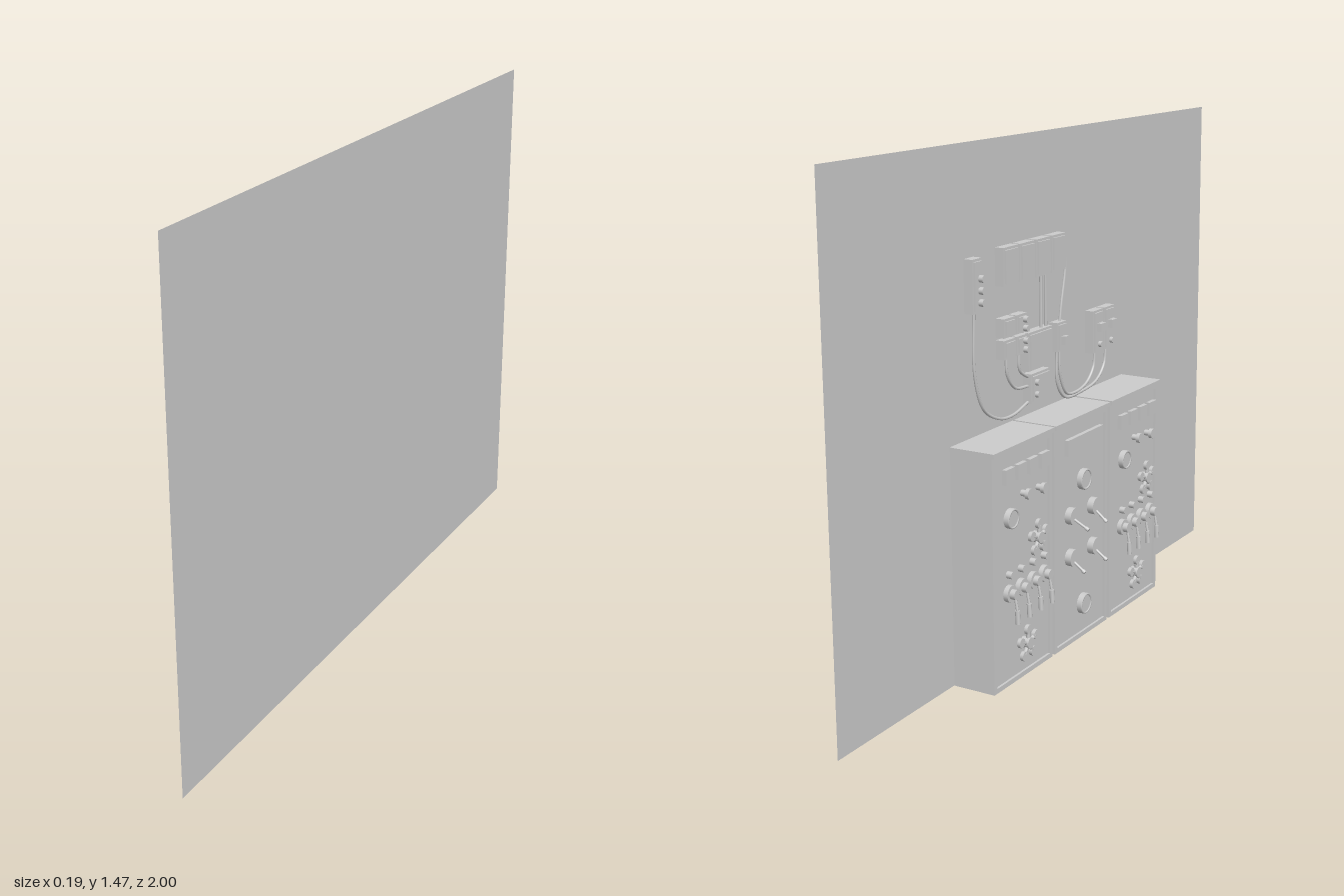
import * as THREE from 'three';

const grey = new THREE.MeshStandardMaterial({ color: 0xcccccc });
const greyThin = new THREE.MeshStandardMaterial({ color: 0xcccccc, side: THREE.DoubleSide });
const FACE = -0.028; // x of the recessed cabinet panels, which look towards -x
const WALL = 0.095;

function add(parent, name, geometry, x, y, z, material = grey) {
  const mesh = new THREE.Mesh(geometry, material);
  mesh.name = name;
  mesh.position.set(x, y, z);
  parent.add(mesh);
  return mesh;
}

// Box given by its x and y ranges, centre z and width
function box(parent, name, x0, x1, y0, y1, z, w) {
  return add(parent, name, new THREE.BoxGeometry(x1 - x0, y1 - y0, w), (x0 + x1) / 2, (y0 + y1) / 2, z);
}

// Round part standing out from a face towards -x
function disc(parent, name, x0, x1, y, z, r, sides = 16) {
  const g = new THREE.CylinderGeometry(r, r, x1 - x0, sides).rotateZ(Math.PI / 2);
  return add(parent, name, g, (x0 + x1) / 2, y, z);
}

// Straight bar between two points
function bar(parent, name, a, b, r) {
  const p = new THREE.Vector3(...a), q = new THREE.Vector3(...b);
  const m = add(parent, name, new THREE.CylinderGeometry(r, r, p.distanceTo(q), 8), 0, 0, 0);
  m.position.copy(p).lerp(q, 0.5);
  m.quaternion.setFromUnitVectors(new THREE.Vector3(0, 1, 0), q.sub(p).normalize());
}

function cable(parent, points) {
  const curve = new THREE.CatmullRomCurve3(points.map(([y, z]) => new THREE.Vector3(0.08, y, z)), false, 'centripetal');
  add(parent, 'cable', new THREE.TubeGeometry(curve, 40, 0.0045, 6), 0, 0, 0);
}

function gauge(parent, y, z, r) {
  disc(parent, 'gauge', -0.042, FACE, y, z, r, 20);
  const rim = new THREE.TorusGeometry(r * 0.9, 0.003, 6, 20).rotateY(Math.PI / 2);
  add(parent, 'gaugeRim', rim, -0.042, y, z);
}

function pushKnob(parent, y, z) {
  disc(parent, 'knobStem', -0.045, FACE, y, z, 0.009);
  disc(parent, 'knobCap', -0.056, -0.045, y, z, 0.015);
}

// Hand wheel with five lobes
function handWheel(parent, y, z) {
  const wheel = new THREE.Group();
  wheel.name = 'handWheel';
  wheel.position.set(0, y, z);
  parent.add(wheel);
  disc(wheel, 'wheelHub', -0.054, FACE, 0, 0, 0.016);
  for (let i = 0; i < 5; i++) {
    const a = (i / 5) * Math.PI * 2;
    const at = (r) => [-0.045, Math.cos(a) * r, Math.sin(a) * r];
    bar(wheel, 'wheelSpoke', at(0.01), at(0.035), 0.006);
    disc(wheel, 'wheelLobe', -0.05, -0.04, at(0.039)[1], at(0.039)[2], 0.014, 10);
  }
}

function cabinet(parent, z) {
  const g = new THREE.Group();
  g.name = 'cabinet';
  g.position.z = z;
  parent.add(g);
  box(g, 'cabinetBody', FACE, WALL, 0, 0.664, 0, 0.305);
  box(g, 'cabinetLid', -0.043, WALL, 0.664, 0.677, 0, 0.309);
  for (const s of [-1, 1]) box(g, 'sideFrame', -0.035, FACE, 0, 0.664, s * 0.1455, 0.014);
  box(g, 'bottomFrame', -0.035, FACE, 0, 0.014, 0, 0.277);
  box(g, 'topFrame', -0.035, FACE, 0.65, 0.664, 0, 0.277);
  return g;
}

function valveCabinet(parent, z) {
  const g = cabinet(parent, z);
  for (let i = 0; i < 4; i++) {
    const dz = 0.02 + (i - 1.5) * 0.06;
    box(g, 'displayWindow', -0.041, FACE, 0.575, 0.617, dz, 0.044);
    // Selector levers with an indicator above each
    disc(g, 'indicator', -0.045, FACE, 0.318, dz, 0.01);
    disc(g, 'leverBase', -0.042, FACE, 0.265, dz, 0.024);
    disc(g, 'leverHub', -0.057, -0.042, 0.265, dz, 0.014);
    bar(g, 'leverArm', [-0.05, 0.265, dz], [-0.059, 0.215, dz], 0.004);
    bar(g, 'leverGrip', [-0.058, 0.22, dz], [-0.06, 0.182, dz], 0.007);
  }
  gauge(g, 0.475, -0.06, 0.028);
  pushKnob(g, 0.528, 0.005);
  pushKnob(g, 0.523, 0.085);
  handWheel(g, 0.387, 0.065);
  handWheel(g, 0.098, 0.005);
}

function switchCabinet(parent, z) {
  const g = cabinet(parent, z);
  box(g, 'longDisplay', -0.041, FACE, 0.572, 0.618, 0.015, 0.2);
  gauge(g, 0.48, 0.015, 0.031);
  gauge(g, 0.1, 0.015, 0.031);
  // Tilted switch levers
  for (const [y, dz, tx, ty] of [[0.39, -0.06, -0.093, 0.357], [0.385, 0.068, -0.08, 0.342],
    [0.265, -0.06, -0.081, 0.227], [0.262, 0.068, -0.081, 0.225]]) {
    disc(g, 'switchBase', -0.048, FACE, y, dz, 0.025);
    bar(g, 'switchStem', [FACE, y, dz], [tx, ty, dz], 0.004);
    bar(g, 'switchGrip', [tx * 0.85 + FACE * 0.15, ty * 0.85 + y * 0.15, dz], [tx, ty, dz], 0.006);
  }
}

// Small housing on the wall with a raised cover
function wallBox(parent, name, y0, y1, z0, z1) {
  const z = (z0 + z1) / 2, w = z1 - z0;
  box(parent, name, 0.068, WALL, y0, y1, z, w);
  box(parent, name + 'Cover', 0.063, 0.068, y0 + 0.007, y1 - 0.007, z, w - 0.012);
}

export function createModel() {
  const model = new THREE.Group();
  model.name = 'controlStation';

  const wall = new THREE.PlaneGeometry(2, 1.465).rotateY(-Math.PI / 2);
  add(model, 'wall', wall, WALL + 0.001, 0.7325, 0, greyThin);

  valveCabinet(model, -0.3375);
  switchCabinet(model, -0.0205);
  valveCabinet(model, 0.299);

  const gear = new THREE.Group();
  gear.name = 'wallEquipment';
  model.add(gear);

  // Upper row of junction boxes
  for (let i = 0; i < 4; i++) {
    const z0 = -0.262 + i * 0.084;
    wallBox(gear, 'junctionBox', 1.07, 1.175, z0, z0 + 0.076);
  }
  // Tall box with buttons
  wallBox(gear, 'buttonBox', 1.02, 1.165, -0.412, -0.367);
  for (const y of [1.112, 1.08, 1.048]) disc(gear, 'button', 0.05, 0.064, y, -0.383, 0.01, 10);

  // Cluster of small relays
  for (const y of [0.868, 0.928]) {
    wallBox(gear, 'relay', y, y + 0.053, -0.262, -0.205);
    wallBox(gear, 'relay', y, y + 0.053, -0.197, -0.145);
    for (const dy of [0.013, 0.038]) disc(gear, 'relayKnob', 0.05, 0.064, y + dy, -0.165, 0.009, 10);
  }
  wallBox(gear, 'mainBox', 0.81, 0.92, -0.137, -0.01);
  wallBox(gear, 'lowerBox', 0.715, 0.8, -0.125, -0.025);
  for (const y of [0.74, 0.775]) disc(gear, 'lowerKnob', 0.052, 0.064, y, -0.105, 0.009, 10);

  // Small switch and paired switches on the other side
  wallBox(gear, 'smallSwitch', 0.835, 0.92, 0.02, 0.07);
  box(gear, 'smallSwitchToggle', 0.05, 0.063, 0.855, 0.88, 0.045, 0.02);
  for (const z of [0.257, 0.326]) {
    wallBox(gear, 'pairedSwitch', 0.79, 0.918, z - 0.031, z + 0.031);
    box(gear, 'pairedSwitchToggle', 0.048, 0.063, 0.855, 0.88, z, 0.03);
    disc(gear, 'pairedSwitchKnob', 0.053, 0.064, 0.815, z, 0.009, 10);
  }

  cable(gear, [[1.03, -0.39], [0.85, -0.39], [0.75, -0.35], [0.705, -0.27], [0.7, -0.2], [0.72, -0.12]]);
  cable(gear, [[0.875, -0.235], [0.82, -0.23], [0.775, -0.19], [0.765, -0.12]]);
  cable(gear, [[0.875, -0.17], [0.82, -0.165], [0.79, -0.12]]);
  cable(gear, [[1.08, -0.05], [1, -0.05], [0.9, -0.05]]);
  cable(gear, [[1.08, -0.025], [1, -0.025], [0.9, -0.025]]);
  cable(gear, [[1.13, 0.055], [1.12, 0.078], [1.08, 0.085], [0.96, 0.06], [0.9, 0.05]]);
  cable(gear, [[0.84, 0.05], [0.76, 0.055], [0.7, 0.09], [0.69, 0.14], [0.705, 0.21], [0.745, 0.25], [0.8, 0.257]]);
  cable(gear, [[0.84, 0.035], [0.74, 0.038], [0.69, 0.08], [0.685, 0.18], [0.7, 0.27], [0.74, 0.315], [0.8, 0.326]]);

  return model;
}
